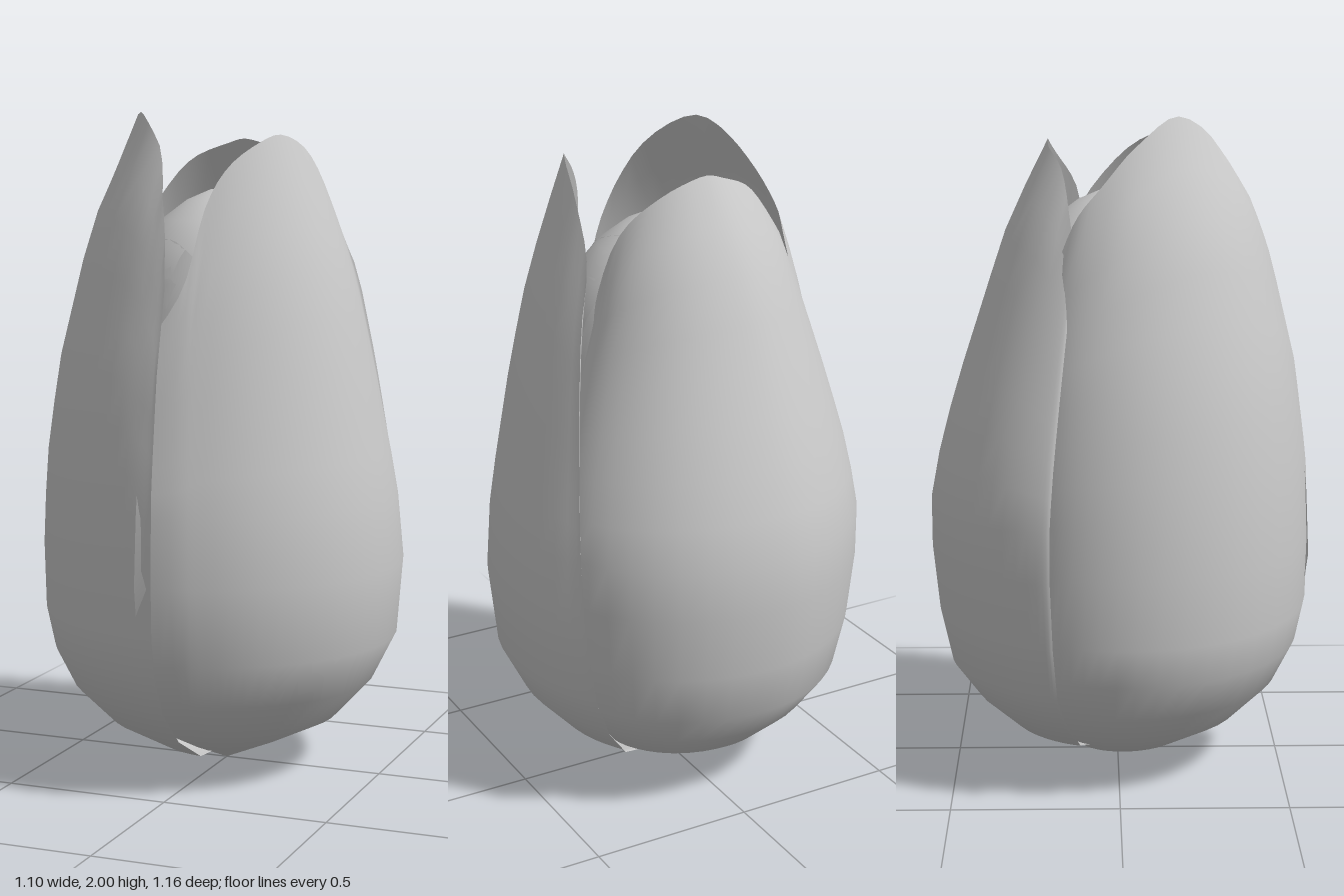
import * as THREE from 'three';

const material = new THREE.MeshStandardMaterial({ color: 0xcccccc, side: THREE.DoubleSide });

// Linear lookup of a radius at height y in a list of [height, radius]
function radiusAt(profile, y) {
  for (let i = 1; i < profile.length; i++) {
    const [y0, r0] = profile[i - 1], [y1, r1] = profile[i];
    if (y <= y1) return r0 + (r1 - r0) * Math.max(0, (y - y0) / (y1 - y0));
  }
  return profile[profile.length - 1][1];
}

// A curved petal: profile gives its bulge, rim gives [angle in degrees, height] along
// its top edge, inner and outer shift its two side edges so that petals overlap,
// spread widens it towards the base and lean tilts it forward.
function petal(name, { profile, rim, inner, outer, spread = 0, lean = 0 }) {
  const curve = new THREE.SplineCurve(rim.map(([a, y]) => new THREE.Vector2(a, y)));
  const columns = 28, upperRows = 8, split = 0.85;
  const low = profile.map(p => p[0]).filter(y => y < split - 0.1);
  const rows = low.length + upperRows;
  const positions = [], indices = [];
  for (let i = 0; i <= columns; i++) {
    const u = i / columns, top = curve.getPoint(u);
    const shift = inner * (1 - u) * (1 - 2 * u) + outer * u * (2 * u - 1);
    for (let j = 0; j <= rows; j++) {
      const y = j < low.length ? low[j] : split + (top.y - split) * (j - low.length) / upperRows;
      const base = radiusAt(profile, y);
      const r = base + shift * Math.min(1, base / 0.4);
      const a = THREE.MathUtils.degToRad(top.x * (1 + spread * (1 - y / top.y)));
      positions.push(r * Math.sin(a), y, r * Math.cos(a) + lean * y);
      if (i < columns && j < rows) {
        const p = i * (rows + 1) + j, q = p + rows + 1;
        indices.push(p, q, q + 1, p, q + 1, p + 1);
      }
    }
  }
  const geometry = new THREE.BufferGeometry();
  geometry.setAttribute('position', new THREE.Float32BufferAttribute(positions, 3));
  geometry.setIndex(indices);
  geometry.computeVertexNormals();
  const mesh = new THREE.Mesh(geometry, material);
  mesh.name = name;
  return mesh;
}

export function createModel() {
  const group = new THREE.Group();
  group.name = 'flowerHead';

  // Three outer petals, each tucked under its neighbour on one side
  group.add(petal('outerPetalRight', {
    profile: [[0.04, 0], [0.06, 0.2], [0.15, 0.36], [0.26, 0.47], [0.38, 0.53], [0.5, 0.555], [0.7, 0.56],
      [0.95, 0.55], [1.25, 0.51], [1.6, 0.425], [1.75, 0.375], [1.9, 0.3], [2, 0.265]],
    rim: [[-120, 1.55], [-112, 1.7], [-100, 1.8], [-80, 1.92], [-50, 2], [-17, 1.9], [-4, 1.7], [0, 1.5]],
    inner: -0.06, outer: 0.03, spread: 0.08,
  }));
  group.add(petal('outerPetalLeft', {
    profile: [[0, 0], [0.08, 0.18], [0.16, 0.34], [0.28, 0.45], [0.42, 0.52], [0.65, 0.54],
      [0.88, 0.52], [1.25, 0.45], [1.5, 0.395], [1.7, 0.335], [1.93, 0.255]],
    rim: [[-5, 1.35], [7, 1.5], [15, 1.72], [28, 1.84], [50, 1.91], [71, 1.93], [98, 1.87], [118, 1.72], [122, 1.55]],
    inner: 0.025, outer: 0.04, spread: 0.1, lean: 0.04,
  }));
  group.add(petal('outerPetalBack', {
    profile: [[0.05, 0], [0.07, 0.15], [0.13, 0.33], [0.23, 0.44], [0.34, 0.52], [0.5, 0.555], [0.7, 0.575],
      [0.87, 0.575], [1.05, 0.535], [1.25, 0.475], [1.57, 0.37], [1.7, 0.325], [1.92, 0.21]],
    rim: [[-254, 1.55], [-240, 1.76], [-212, 1.87], [-180, 1.92], [-160, 1.91], [-130, 1.85], [-114, 1.7], [-110, 1.55]],
    inner: -0.1, outer: 0.015,
  }));

  // Closed bud inside, domed at the top
  const budProfile = [[0.12, 0], [0.3, 0.3], [0.6, 0.43], [0.9, 0.43], [1.2, 0.38], [1.5, 0.31],
    [1.6, 0.265], [1.68, 0.2], [1.74, 0.12], [1.77, 0.05], [1.775, 0]];
  const bud = new THREE.Mesh(
    new THREE.LatheGeometry(budProfile.map(([y, r]) => new THREE.Vector2(r, y)), 32), material);
  bud.name = 'innerBud';
  group.add(bud);

  // Two inner petals wrapped around the bud
  group.add(petal('innerPetalFront', {
    profile: budProfile,
    rim: [[-85, 1.5], [-78, 1.58], [-45, 1.62], [-10, 1.61], [28, 1.45], [34, 1.3]],
    inner: 0.02, outer: 0.02,
  }));
  group.add(petal('innerPetalLeft', {
    profile: budProfile,
    rim: [[16, 1.4], [20, 1.52], [45, 1.66], [90, 1.72], [125, 1.69], [148, 1.63], [156, 1.45]],
    inner: 0.025, outer: 0.02,
  }));

  return group;
}
